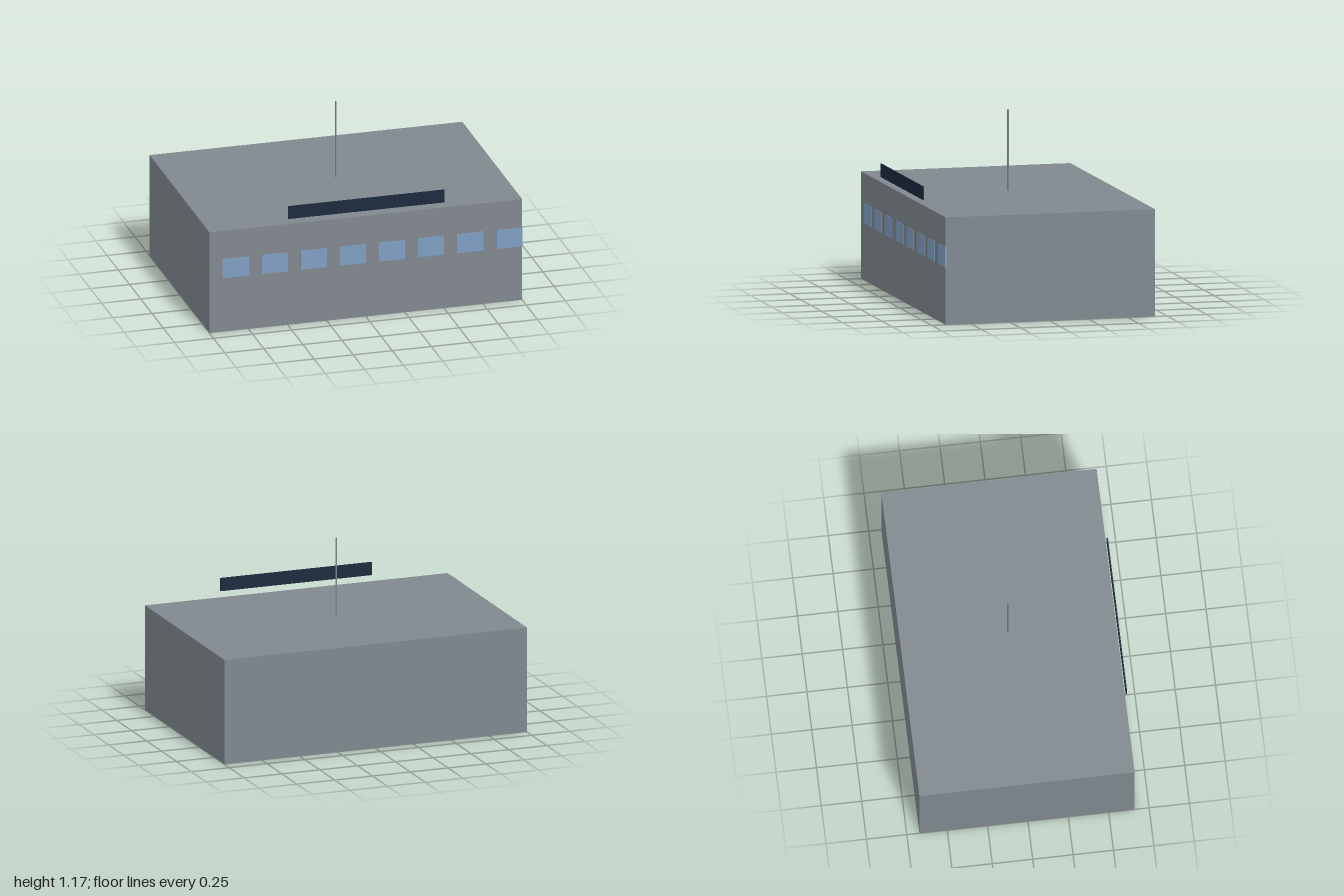
import * as THREE from 'three';

const paint = (color) => new THREE.MeshStandardMaterial({ color });

function addBox(parent, name, size, position, material) {
  const mesh = new THREE.Mesh(new THREE.BoxGeometry(...size), material);
  mesh.name = name;
  mesh.position.set(...position);
  parent.add(mesh);
  return mesh;
}

export function createModel() {
  const model = new THREE.Group();
  model.name = 'building';

  const wall = paint(0x80888e);
  const glass = paint(0x7f9fc4);
  const dark = paint(0x1b2a3c);

  const height = 0.667, depth = 1.333;
  const centreZ = -0.0055;
  const frontZ = centreZ + depth / 2;

  // Main block
  addBox(model, 'mainBlock', [2, height, depth], [0, height / 2, centreZ], wall);

  // Row of eight windows, standing slightly proud of the front wall
  const windows = new THREE.Group();
  windows.name = 'windows';
  for (let i = 0; i < 8; i++) {
    addBox(windows, `window${i + 1}`, [0.1667, 0.125, 0.008],
      [-0.8333 + i * 0.25, 0.418, frontZ - 0.001], glass);
  }
  model.add(windows);

  // Sign board above the front edge of the roof
  addBox(model, 'signBoard', [1, 0.083, 0.008], [0, 0.746, frontZ + 0.007], dark);

  // Thin mast in the middle of the roof
  const mast = new THREE.Mesh(new THREE.CylinderGeometry(0.005, 0.005, 0.503, 8), wall);
  mast.name = 'roofMast';
  mast.position.set(0, height + 0.2515, centreZ);
  model.add(mast);

  return model;
}
